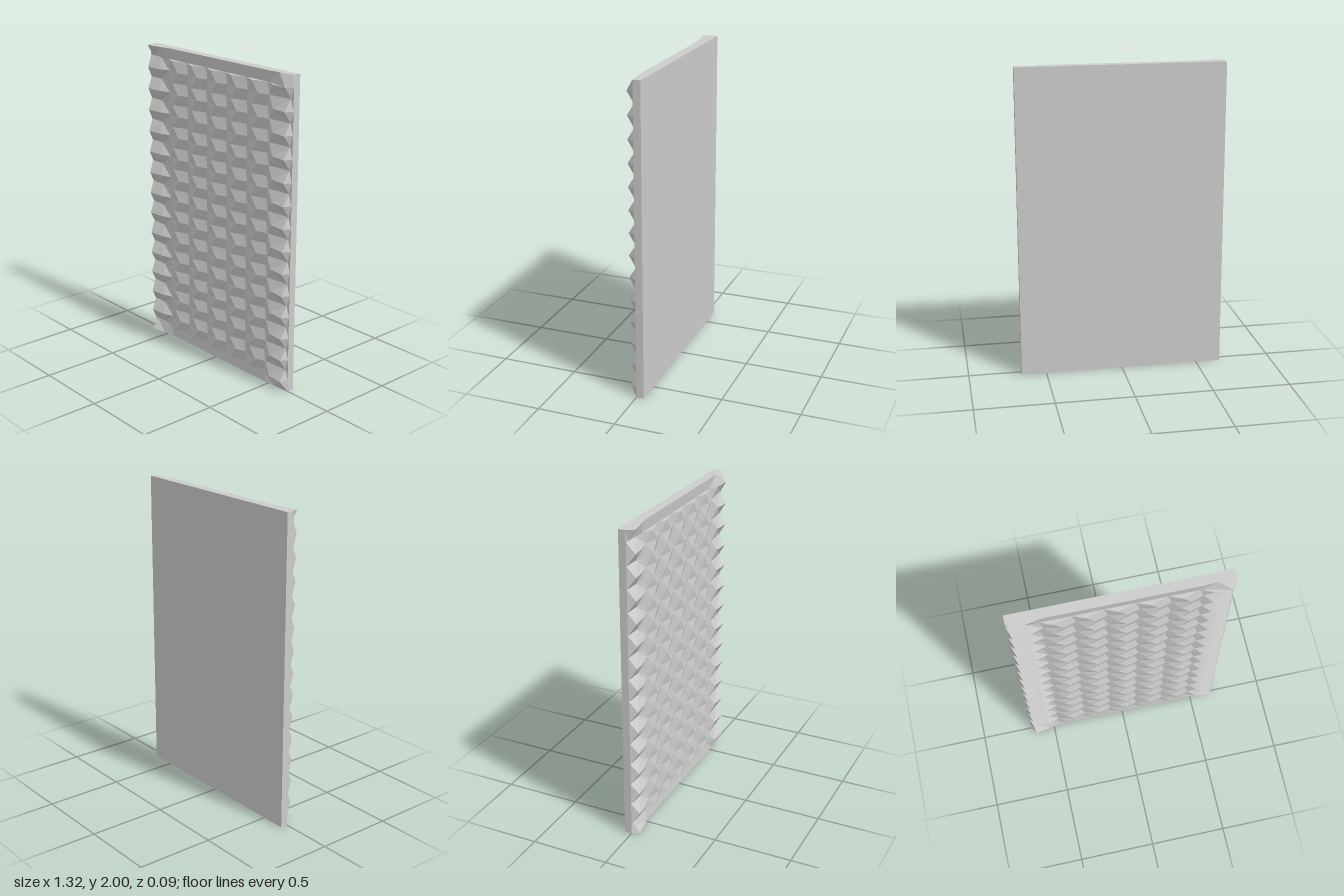
import * as THREE from 'three';

const ROWS = 28, STEP = 2 / ROWS, PITCH = 0.1856;

// One row of the relief as [x, z] points. Odd rows mirror even rows in x.
function row(odd, bumps) {
  const valley = odd ? 0.007 : 0.015;
  const pts = [[-0.66, 0], [-0.635, 0.047], [-0.529, bumps ? 0.037 : valley + 0.0135]];
  for (let k = 0; k < 6; k++) {
    const x = -0.453 + k * PITCH;
    pts.push([x, valley]);
    if (k < 5) pts.push([x + 0.109, bumps ? 0.037 : valley]);
  }
  pts.push([0.55, valley * 0.6], [0.64, valley * 0.1], [0.66, 0]);
  return odd ? pts.reverse().map(([x, z]) => [-x, z]) : pts;
}

// Faceted surface through the rows, with straight borders and end caps
function reliefGeometry() {
  const rows = [];
  const add = (j, pts) => rows.push(pts.map(([x, z]) => [x, j * STEP, z]));
  const flat = pts => pts.map(([x]) => [x, 0]);
  add(0, flat(row(false, false)));
  add(0, row(false, false));
  add(1, row(true, false));
  for (let j = 1; j < ROWS; j++) add(j, row(j % 2 === 1, true));
  add(ROWS - 1, row(true, false));
  add(ROWS, row(false, false));
  add(ROWS, flat(row(false, false)));

  const pos = [];
  for (let j = 0; j < rows.length - 1; j++) {
    for (let i = 0; i < rows[j].length - 1; i++) {
      const a = rows[j][i], b = rows[j][i + 1];
      const c = rows[j + 1][i + 1], d = rows[j + 1][i];
      const tris = (i + j) % 2 ? [a, b, c, a, c, d] : [a, b, d, b, c, d];
      pos.push(...tris.flat());
    }
  }
  const g = new THREE.BufferGeometry();
  g.setAttribute('position', new THREE.Float32BufferAttribute(pos, 3));
  g.computeVertexNormals();
  return g;
}

export function createModel() {
  const group = new THREE.Group();
  group.name = 'reliefPanel';
  const material = new THREE.MeshStandardMaterial({
    color: 0xcccccc, flatShading: true, side: THREE.DoubleSide
  });

  // Plain slab behind the relief
  const slab = new THREE.Mesh(new THREE.BoxGeometry(1.32, 2, 0.048), material);
  slab.position.set(0, 1, -0.024);
  slab.name = 'backSlab';

  // Folded front
  const relief = new THREE.Mesh(reliefGeometry(), material);
  relief.name = 'foldedRelief';

  group.add(slab, relief);
  return group;
}
